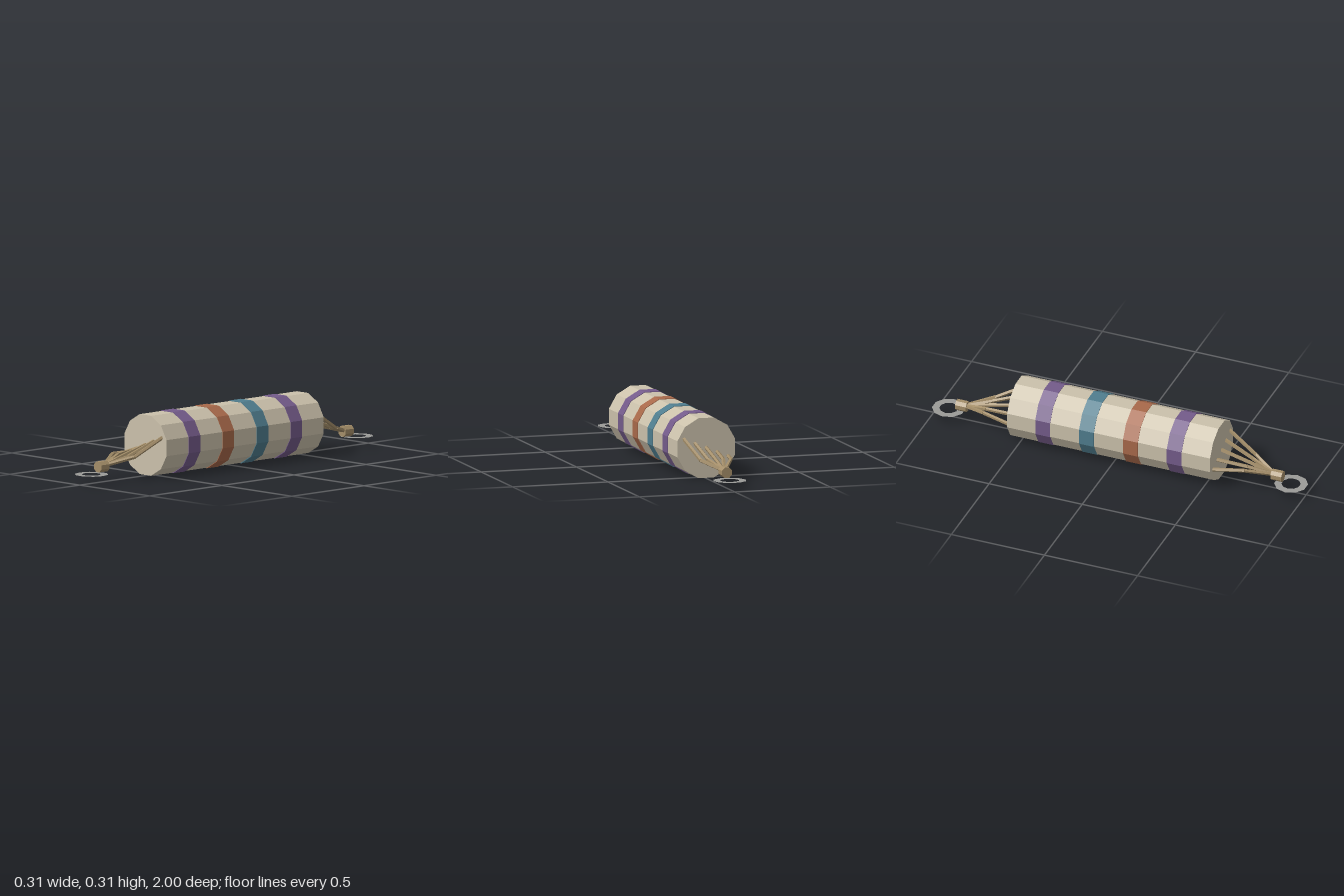
import * as THREE from 'three';

const paint = (name, color, extra = {}) =>
  new THREE.MeshStandardMaterial({ name, color, flatShading: true, ...extra });

export function createModel() {
  const model = new THREE.Group();
  model.name = 'rolledHammock';

  const canvas = paint('canvas', 0xcbc1ab);
  const purple = paint('purple', 0x745b8a);
  const orange = paint('orange', 0xa8694a);
  const teal = paint('teal', 0x4f7d8e);
  const rope = paint('rope', 0xa48e69);
  const steel = paint('steel', 0x9a9a97, { side: THREE.DoubleSide });

  const add = (parent, name, geometry, material) => {
    const mesh = new THREE.Mesh(geometry, material);
    mesh.name = name;
    parent.add(mesh);
    return mesh;
  };

  // Prism along z with a flat side on top; size is given across the flats
  const prism = (apothem, length, sides) =>
    new THREE.CylinderGeometry(
      apothem / Math.cos(Math.PI / sides), apothem / Math.cos(Math.PI / sides),
      length, sides, 1, false, Math.PI / sides
    ).rotateX(Math.PI / 2);

  // Straight piece of cord between two points
  const cordPiece = (parent, a, b) => {
    const dir = b.clone().sub(a);
    const mesh = add(parent, 'cordPiece',
      new THREE.CylinderGeometry(0.01, 0.01, dir.length(), 5), rope);
    mesh.position.copy(a).add(b).multiplyScalar(0.5);
    mesh.quaternion.setFromUnitVectors(new THREE.Vector3(0, 1, 0), dir.normalize());
  };

  // Rolled cloth body
  const centreY = 0.154;
  add(model, 'roll', prism(0.151, 1.09, 12), canvas).position.y = centreY;

  // Coloured straps round the roll
  [[0.353, purple], [0.118, orange], [-0.118, teal], [-0.353, purple]].forEach(([z, material]) => {
    add(model, 'strap', prism(0.154, 0.079, 12), material).position.set(0, centreY, z);
  });

  // Both ends: fanned cords, knot and flat ring
  for (const s of [1, -1]) {
    const end = new THREE.Group();
    end.name = s > 0 ? 'frontEnd' : 'backEnd';
    model.add(end);

    const gather = new THREE.Vector3(0, 0.08, s * 0.835);
    for (let i = -2; i <= 2; i++) {
      const cord = new THREE.Group();
      cord.name = 'cord';
      end.add(cord);
      const bend = new THREE.Vector3(i * 0.039, 0.117, s * 0.7);
      const root = new THREE.Vector3(i * 0.058, 0.156 + i * 0.024, s * 0.54);
      cordPiece(cord, root, bend);
      cordPiece(cord, bend, gather);
    }

    add(end, 'knot', prism(0.0265, 0.058, 8), rope).position.set(0, 0.078, s * 0.847);

    const ring = add(end, 'ring',
      new THREE.RingGeometry(0.048, 0.085, 10).rotateX(-Math.PI / 2), steel);
    ring.position.set(0, 0.046, s * 0.919);
  }

  return model;
}
